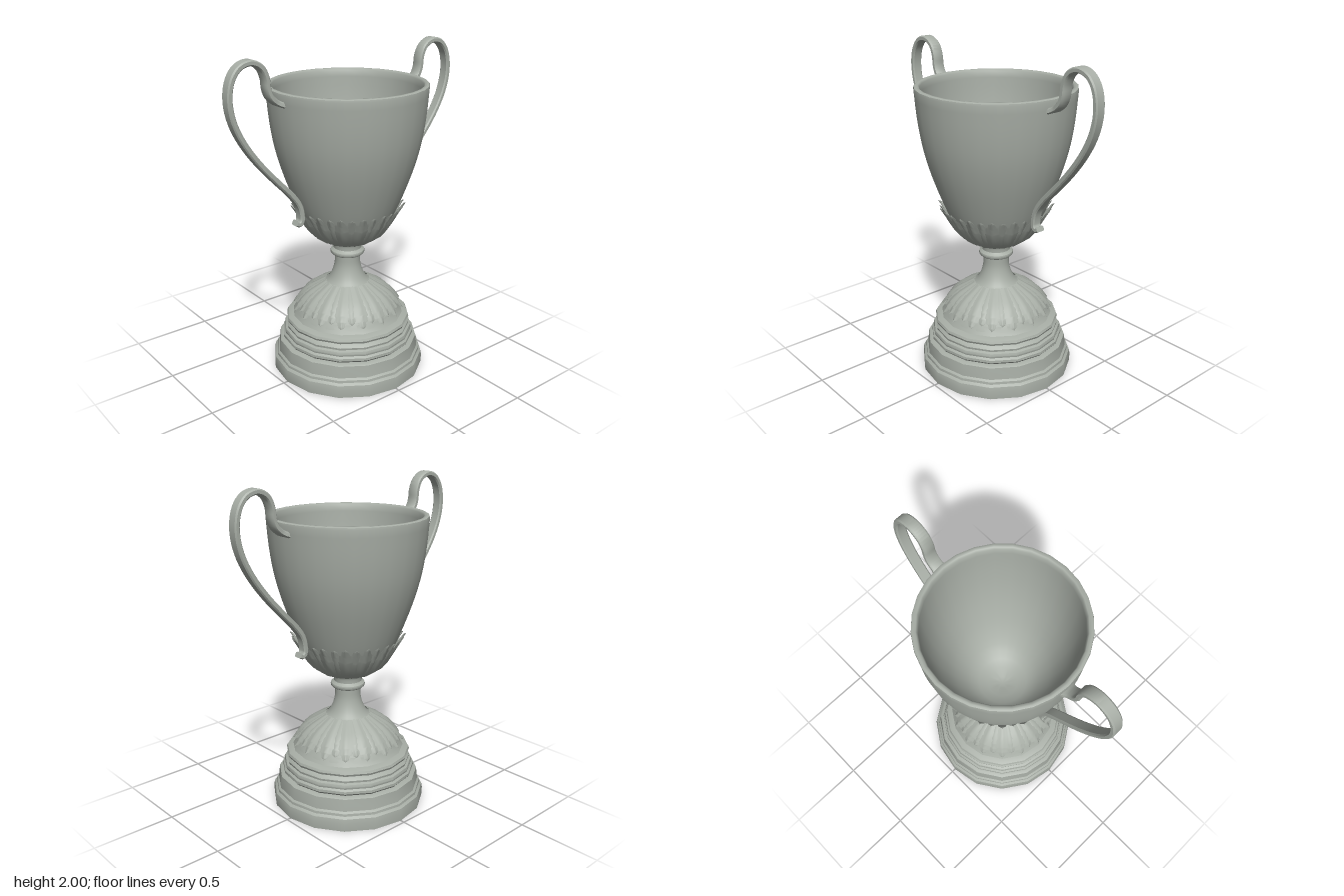
import * as THREE from 'three';
import { mergeVertices, mergeGeometries, toCreasedNormals } from 'three/addons/utils/BufferGeometryUtils.js';

const pewter = new THREE.MeshStandardMaterial({ color: 0xa8aea6, side: THREE.DoubleSide });
pewter.name = 'pewter';

const v2 = (pts) => pts.map(([x, y]) => new THREE.Vector2(x, y));
const v3 = (pts) => pts.map(([x, y]) => new THREE.Vector3(x, y, 0));

function addMesh(parent, name, geometry) {
  const mesh = new THREE.Mesh(geometry, pewter);
  mesh.name = name;
  parent.add(mesh);
  return mesh;
}

// Turned part; edges sharper than the crease angle stay crisp
function turned(points, sides, crease = 0.6) {
  const geo = new THREE.LatheGeometry(points, sides);
  geo.deleteAttribute('uv');
  geo.deleteAttribute('normal');
  return toCreasedNormals(mergeVertices(geo, 1e-4), crease);
}

// Surface through a grid of points given by fn(row, column)
function gridSurface(rows, cols, fn) {
  const pos = [], idx = [];
  for (let i = 0; i <= rows; i++)
    for (let j = 0; j <= cols; j++) {
      pos.push(...fn(i, j));
      if (i < rows && j < cols) {
        const a = i * (cols + 1) + j, b = a + cols + 1;
        idx.push(a, a + 1, b, a + 1, b + 1, b);
      }
    }
  const geo = new THREE.BufferGeometry();
  geo.setAttribute('position', new THREE.Float32BufferAttribute(pos, 3));
  geo.setIndex(idx);
  return geo;
}

// Ring of lobed leaves that follow a profile of [radius, height] points
function leafRing(profile, count, phase, halfAngle, offset, reach) {
  const spine = new THREE.CatmullRomCurve3(v3(profile));
  // [position along the leaf, relative width]; the jumps form the lobes
  const outline = [[0, 1], [0.2, 1], [0.4, 1], [0.55, 1.02], [0.66, 0.98], [0.68, 0.76],
    [0.79, 0.7], [0.81, 0.46], [0.91, 0.34], [1, 0]];
  const ridge = [0, 0.005, 0.008, 0.018, 0.008, 0.005, 0];
  const leaves = [];
  for (let k = 0; k < count; k++) {
    const mid = ((k + phase) / count) * Math.PI * 2;
    const leaf = gridSurface(outline.length - 1, 6, (i, j) => {
      const [t, w] = outline[i], u = j / 3 - 1;
      // side edges lean toward the tip, giving pointed lobes
      const lean = i > 3 && i < 9 ? 0.04 * Math.abs(u) : 0;
      const p = spine.getPoint(Math.min(1, (t + lean) * reach));
      const r = p.x + offset + ridge[j] * Math.min(1, 0.3 + 2 * t) * (1 - 0.5 * t);
      const a = mid + u * w * halfAngle;
      return [r * Math.sin(a), p.y, r * Math.cos(a)];
    });
    leaf.computeVertexNormals();
    leaves.push(leaf);
  }
  return mergeGeometries(leaves);
}

// Flat strap swept along a planar curve, closed at both ends
function strap(points) {
  const curve = new THREE.CatmullRomCurve3(v3(points), false, 'centripetal');
  const section = [[-1, -0.75], [-0.55, -1], [0.55, -1], [1, -0.75], [1, 0.75], [0.55, 1], [-0.55, 1], [-1, 0.75]];
  const n = 72;
  const geo = gridSurface(n + 2, 8, (i, j) => {
    const t = Math.min(Math.max((i - 1) / n, 0), 1);
    const p = curve.getPoint(t), d = curve.getTangent(t);
    const s = i === 0 || i === n + 2 ? 0 : 1;
    const [a, b] = section[j % 8];
    const thick = 0.016 * a * s;
    const wide = (0.037 - 0.009 * t + 0.014 * Math.max(0, 1 - t * 18)) * b * s;
    return [p.x - d.y * thick, p.y + d.x * thick, wide];
  });
  return toCreasedNormals(mergeVertices(geo, 1e-5), 0.7);
}

export function createModel() {
  const trophy = new THREE.Group();
  trophy.name = 'trophyCup';

  // Stepped plinth with rounded mouldings
  addMesh(trophy, 'steppedBase', turned(v2([
    [0, 0], [0.475, 0], [0.477, 0.05], [0.472, 0.078], [0.458, 0.09], [0.456, 0.105], [0.444, 0.115],
    [0.436, 0.19], [0.425, 0.197], [0.405, 0.2], [0.415, 0.212], [0.414, 0.228], [0.402, 0.238],
    [0.405, 0.25], [0.4, 0.265], [0.386, 0.272], [0.388, 0.285], [0.376, 0.298], [0.366, 0.305],
    [0.382, 0.312], [0.388, 0.326], [0.382, 0.34], [0.366, 0.347], [0.346, 0.352], [0.33, 0.375],
    [0.318, 0.4],
  ]), 16));

  // Domed foot flowing up into the stem
  const foot = new THREE.SplineCurve(v2([
    [0.33, 0.37], [0.295, 0.43], [0.24, 0.49], [0.175, 0.533], [0.125, 0.57], [0.096, 0.62],
    [0.08, 0.68], [0.079, 0.74],
  ])).getPoints(24);
  addMesh(trophy, 'footAndStem', turned(foot, 24));

  // Beaded collar and neck below the bowl
  addMesh(trophy, 'stemCollar', turned(v2([
    [0.078, 0.738], [0.095, 0.743], [0.104, 0.752], [0.106, 0.76], [0.103, 0.77], [0.092, 0.778],
    [0.086, 0.784], [0.086, 0.805], [0.092, 0.825], [0.105, 0.84],
  ]), 24));

  // Hollow bowl: outside, rim, inside
  const outside = new THREE.SplineCurve(v2([
    [0.08, 0.828], [0.125, 0.838], [0.18, 0.872], [0.225, 0.92], [0.265, 0.98], [0.3, 1.05], [0.355, 1.19],
    [0.402, 1.33], [0.437, 1.47], [0.459, 1.62], [0.472, 1.785],
  ])).getPoints(30);
  const inside = new THREE.SplineCurve(v2([
    [0.438, 1.79], [0.425, 1.62], [0.395, 1.43], [0.345, 1.25], [0.27, 1.08], [0.16, 0.95], [0, 0.9],
  ])).getPoints(20);
  inside[inside.length - 1].x = 0;
  addMesh(trophy, 'bowl', turned([
    ...outside, ...v2([[0.47, 1.797], [0.46, 1.802], [0.446, 1.801]]), ...inside,
  ], 28, 0.9));

  // Leaves cupping the bowl, two overlapping layers
  const calyx = [[0.085, 0.83], [0.13, 0.838], [0.186, 0.872], [0.232, 0.92], [0.272, 0.98], [0.307, 1.04], [0.337, 1.085]];
  addMesh(trophy, 'bowlLeavesFront', leafRing(calyx, 16, 0, 0.175, 0.006, 1));
  addMesh(trophy, 'bowlLeavesBehind', leafRing(calyx, 16, 0.5, 0.18, 0.002, 0.97));

  // Leaves draped over the foot, two overlapping layers
  const drape = [[0.13, 0.568], [0.18, 0.536], [0.245, 0.494], [0.3, 0.436], [0.335, 0.385]];
  addMesh(trophy, 'footLeavesFront', leafRing(drape, 16, 0, 0.165, 0.006, 1));
  addMesh(trophy, 'footLeavesBehind', leafRing(drape, 16, 0.5, 0.17, 0.002, 0.9));

  // Tall looped handles, one on each side
  const handle = strap([
    [0.455, 1.735], [0.49, 1.75], [0.53, 1.785], [0.549, 1.83], [0.556, 1.89], [0.58, 1.945], [0.622, 1.976],
    [0.665, 1.983], [0.72, 1.963], [0.763, 1.91], [0.784, 1.83], [0.78, 1.74], [0.75, 1.64],
    [0.69, 1.53], [0.6, 1.41], [0.5, 1.3], [0.41, 1.205], [0.362, 1.135], [0.347, 1.07],
    [0.35, 1.035], [0.367, 1.022], [0.385, 1.03],
  ]);
  addMesh(trophy, 'leftHandle', handle);
  addMesh(trophy, 'rightHandle', handle).rotation.y = Math.PI;

  return trophy;
}
